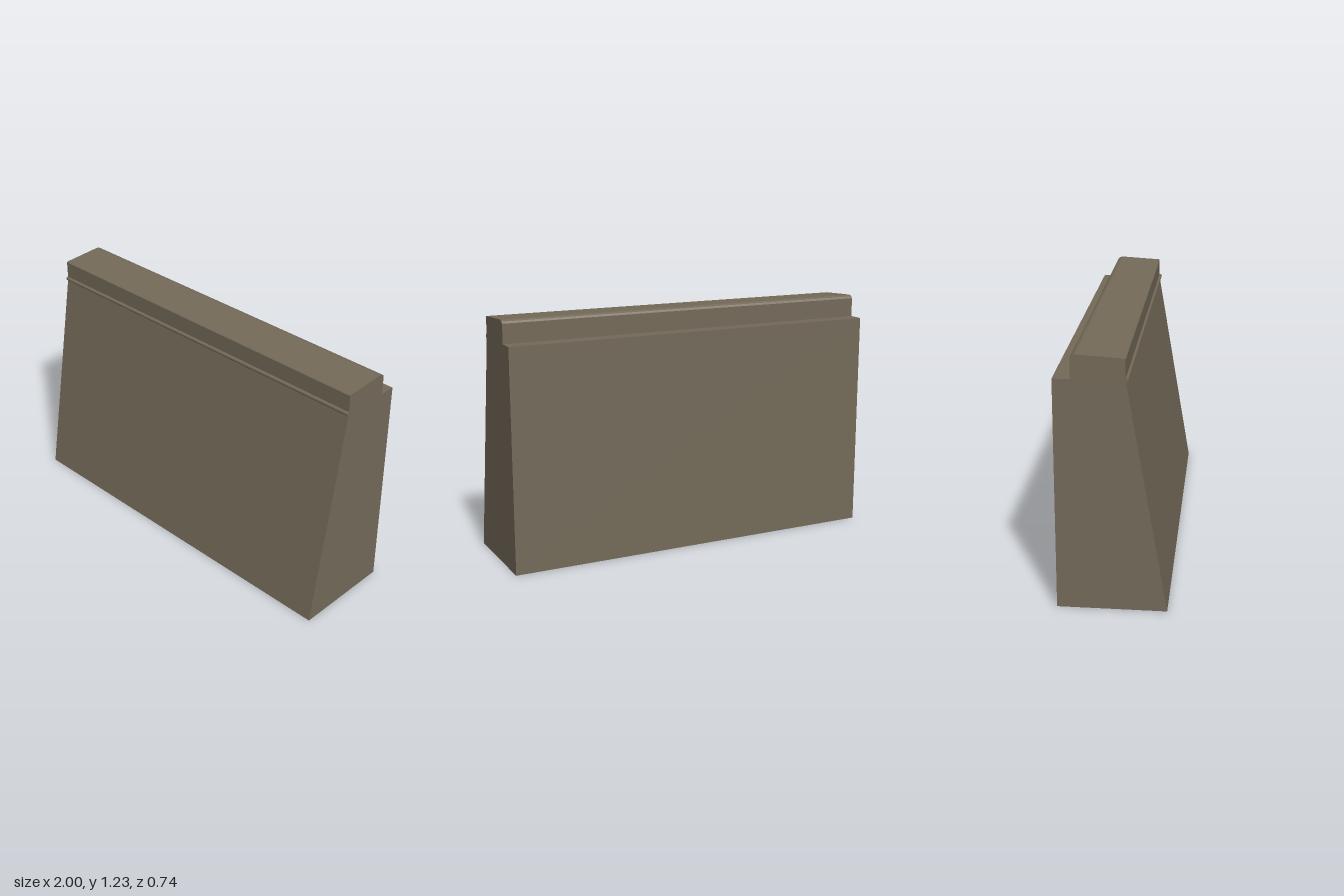
import * as THREE from 'three';

const LENGTH = 1.954, BACK = -0.2565, FRONT = 0.2565, TOP_FRONT = 0.0665, HEIGHT = 1.115;

// Extrude a [depth, height] cross-section along the wall
function extrudeAlongWall(points) {
  const shape = new THREE.Shape(points.map(([z, y]) => new THREE.Vector2(-z, y)));
  return new THREE.ExtrudeGeometry(shape, { depth: LENGTH, bevelEnabled: false })
    .translate(0, 0, -LENGTH / 2)
    .rotateY(Math.PI / 2);
}

// Battered wall: a box whose top front edge leans back, open underneath
function wallGeometry() {
  const geometry = new THREE.BoxGeometry(LENGTH, HEIGHT, FRONT - BACK).translate(0, HEIGHT / 2, 0);
  const position = geometry.attributes.position;
  for (let i = 0; i < position.count; i++) {
    if (position.getY(i) > HEIGHT / 2 && position.getZ(i) > 0) position.setZ(i, TOP_FRONT);
  }
  const index = Array.from(geometry.index.array);
  index.splice(18, 6); // underside
  geometry.setIndex(index);
  geometry.clearGroups();
  geometry.computeVertexNormals();
  return geometry;
}

export function createModel() {
  const stone = new THREE.MeshStandardMaterial({ color: 0x746a59, side: THREE.DoubleSide });
  stone.name = 'stone';

  const model = new THREE.Group();
  model.name = 'wallSegment';
  const add = (name, geometry) => {
    const mesh = new THREE.Mesh(geometry, stone);
    mesh.name = name;
    model.add(mesh);
    return mesh;
  };

  add('wall', wallGeometry());

  // Coping with a gently sloped top and a softened rear edge
  add('coping', extrudeAlongWall([
    [TOP_FRONT, HEIGHT], [TOP_FRONT, 1.211], [0.062, 1.215],
    [-0.145, 1.227], [-0.158, 1.226], [-0.17, 1.22], [-0.176, 1.211], [-0.176, HEIGHT],
  ]));

  // Thin round moulding under the front of the coping
  const bead = add('bead', new THREE.CylinderGeometry(0.01, 0.01, LENGTH, 12).rotateZ(Math.PI / 2));
  bead.position.set(0, HEIGHT + 0.002, TOP_FRONT + 0.003);

  // The wall stands slightly turned
  model.rotation.y = -0.1205;
  return model;
}
